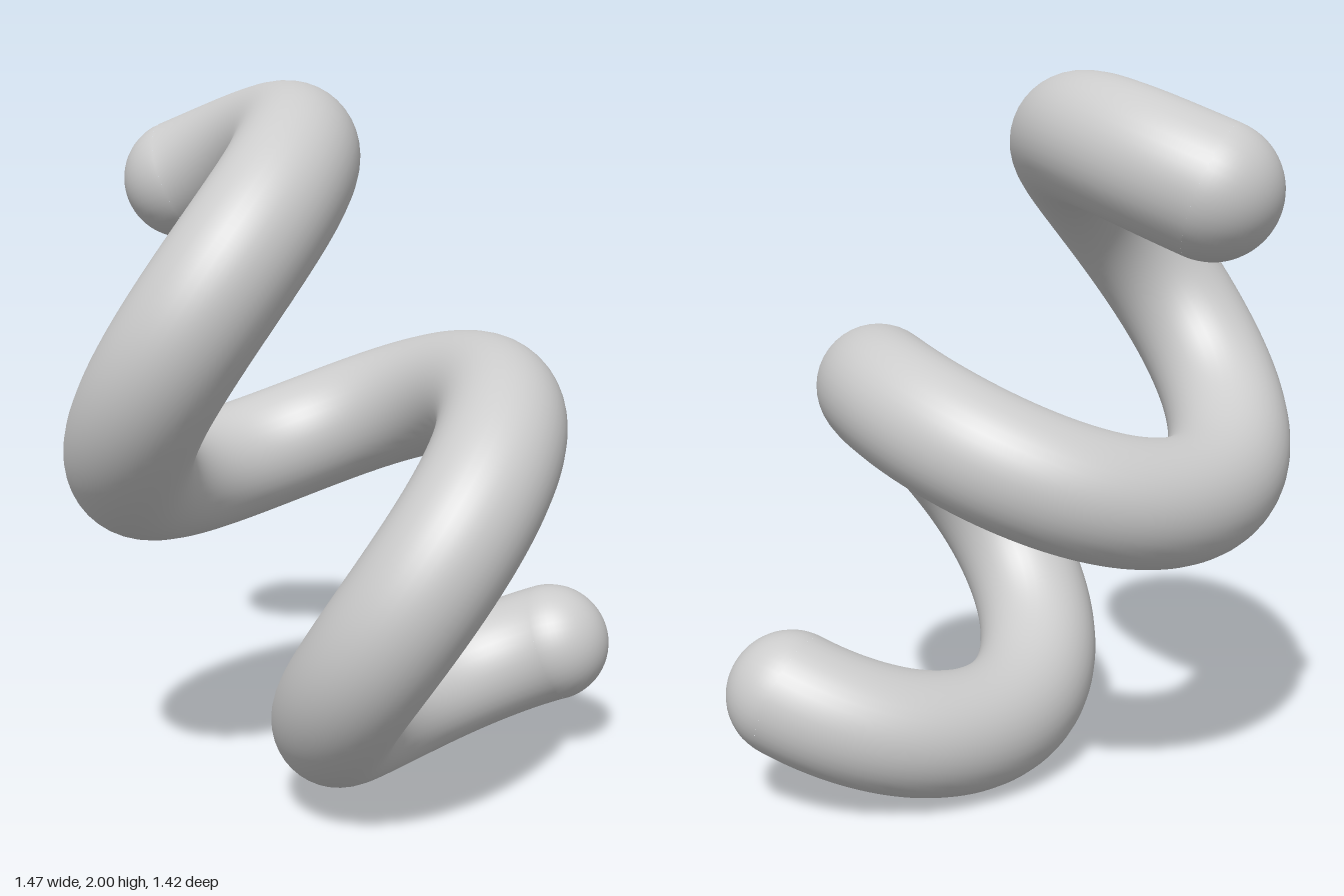
import * as THREE from 'three';

const RADIUS = 0.175; // tube thickness
const COIL = 0.449;   // coil radius
const TURNS = 2;
const PHASE = THREE.MathUtils.degToRad(2);

// Helix winding around a slanted axis
class CoilCurve extends THREE.Curve {
  constructor() {
    super();
    this.start = new THREE.Vector3(0.594, 0.293, -0.088);
    this.pitch = new THREE.Vector3(-0.5525, 0.6925, 0.12); // advance per turn
    const axis = this.pitch.clone().normalize();
    this.u = new THREE.Vector3(0, 0, -1).projectOnPlane(axis).normalize();
    this.v = new THREE.Vector3().crossVectors(this.u, axis).normalize();
    if (this.v.y > 0) this.v.negate();
  }
  getPoint(t, target = new THREE.Vector3()) {
    const angle = t * TURNS * Math.PI * 2 + PHASE;
    return target.copy(this.start)
      .addScaledVector(this.pitch, t * TURNS)
      .addScaledVector(this.u, COIL * Math.cos(angle))
      .addScaledVector(this.v, COIL * Math.sin(angle));
  }
}

export function createModel() {
  const group = new THREE.Group();
  group.name = 'coil';
  const material = new THREE.MeshStandardMaterial({ color: 0xcccccc });
  const curve = new CoilCurve();

  // Coiled tube
  const tube = new THREE.Mesh(new THREE.TubeGeometry(curve, 240, RADIUS, 40, false), material);
  tube.name = 'coiledTube';
  group.add(tube);

  // Rounded end caps, domes pointing outward along the curve
  const dome = new THREE.SphereGeometry(RADIUS, 40, 16, 0, Math.PI * 2, 0, Math.PI / 2);
  const up = new THREE.Vector3(0, 1, 0);
  for (const [name, t, sign] of [['lowerEndCap', 0, -1], ['upperEndCap', 1, 1]]) {
    const cap = new THREE.Mesh(dome, material);
    cap.name = name;
    cap.position.copy(curve.getPoint(t));
    cap.quaternion.setFromUnitVectors(up, curve.getTangent(t).multiplyScalar(sign));
    group.add(cap);
  }
  return group;
}
